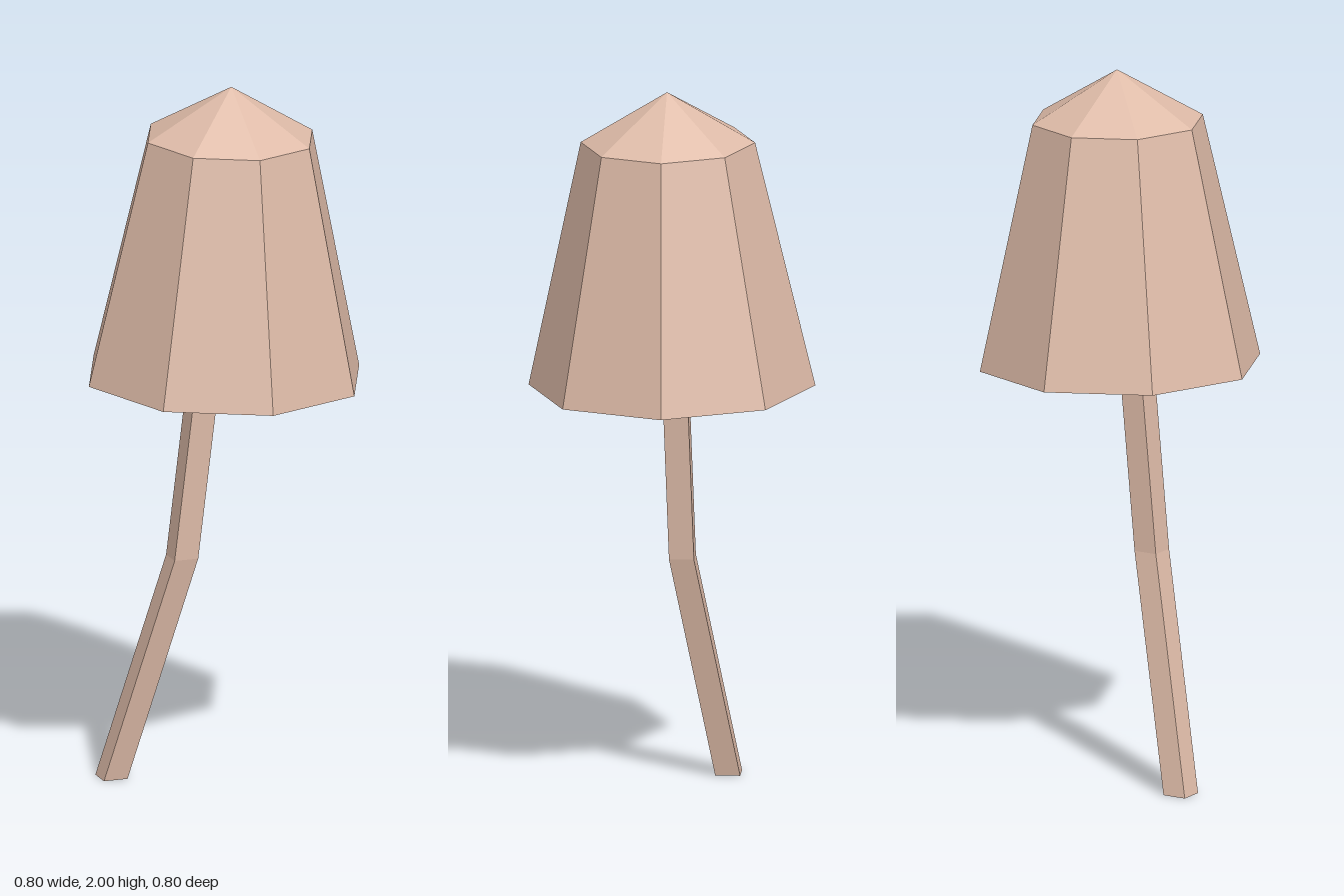
import * as THREE from 'three';

export function createModel() {
  const group = new THREE.Group();
  const skin = new THREE.MeshStandardMaterial({ color: 0xdebba8, flatShading: true, side: THREE.DoubleSide });
  skin.name = 'pale mushroom';

  // Hollow eight-sided cap, open underneath and leaning slightly
  const profile = [[0.398, 0], [0.242, 0.692], [0, 0.835]].map(([r, y]) => new THREE.Vector2(r, y));
  const cap = new THREE.Mesh(new THREE.LatheGeometry(profile, 8), skin);
  cap.name = 'cap';
  cap.position.set(-0.001, 1.165, 0);
  cap.rotation.set(-0.004, 0, -0.025);
  group.add(cap);

  // Four-sided bent stem: each level of the cylinder is slid to a point on its path
  const path = [[-0.296, 0, 0.104], [-0.097, 0.65, 0.068], [0.023, 1.86, -0.004]];
  const geometry = new THREE.CylinderGeometry(0.049, 0.049, 2, 4, 2);
  const pos = geometry.attributes.position;
  for (let i = 0; i < pos.count; i++) {
    const [x, y, z] = path[Math.round(pos.getY(i) + 1)];
    pos.setXYZ(i, pos.getX(i) + x, y, pos.getZ(i) + z);
  }
  geometry.computeVertexNormals();
  const stem = new THREE.Mesh(geometry, skin);
  stem.name = 'stem';
  group.add(stem);

  return group;
}
